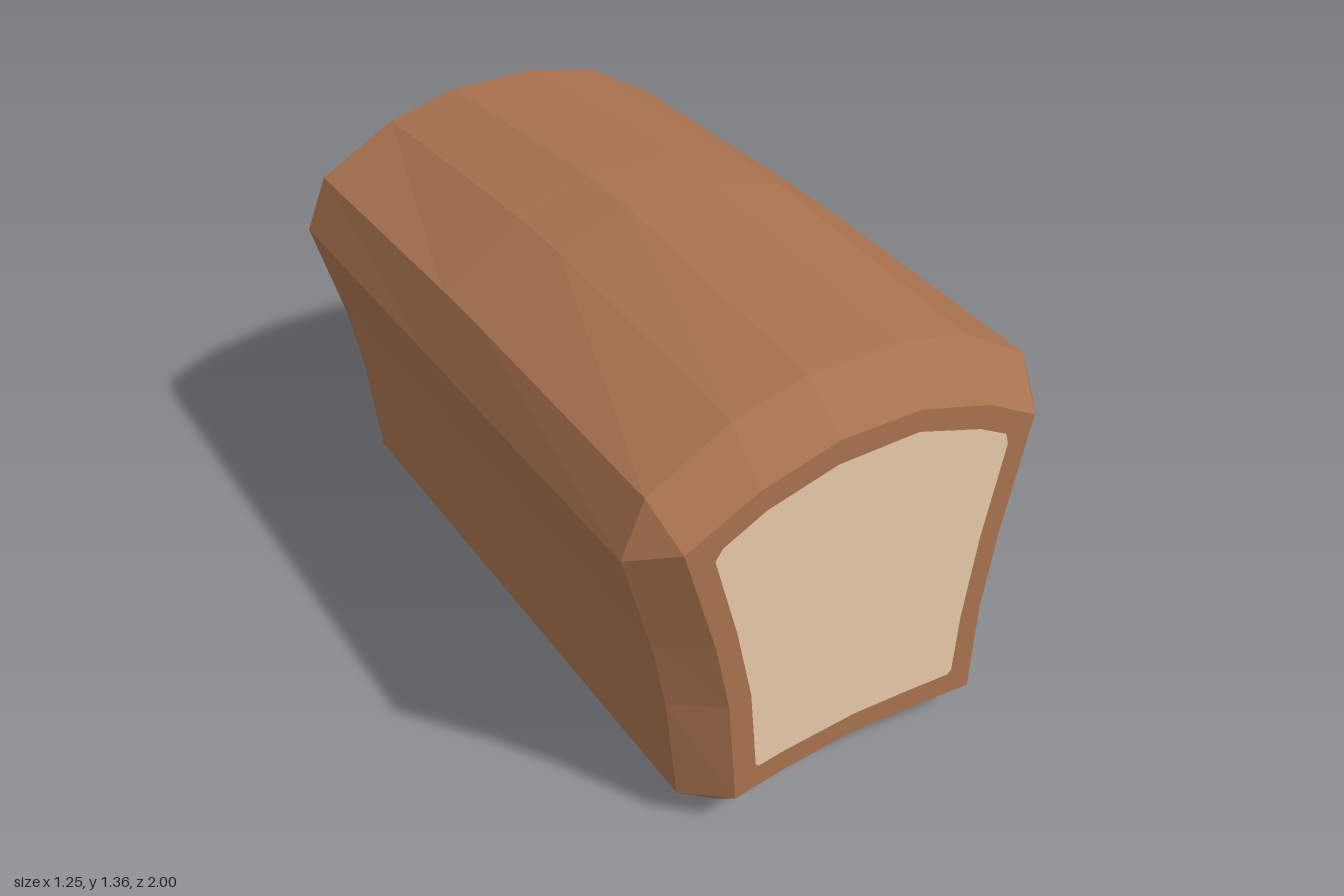
import * as THREE from 'three';

// Loaf cross-section, counter-clockwise seen from the front:
// body x, body y, end-cap x, end-cap y, extra height at mid length
const section = [
  [-0.34, 0.005, -0.355, 0.118, 0],
  [-0.2, 0.03, -0.2, 0.14, 0],
  [0.02, 0.04, 0.02, 0.155, 0],
  [0.2, 0.025, 0.22, 0.138, 0],
  [0.415, 0, 0.42, 0.117, 0],
  [0.53, 0.10, 0.42, 0.117, 0],
  [0.535, 0.38, 0.425, 0.40, 0],
  [0.56, 0.61, 0.455, 0.65, 0],
  [0.622, 0.95, 0.52, 1.00, 0],
  [0.56, 1.11, 0.52, 1.00, 0.025],
  [0.36, 1.235, 0.36, 1.09, 0.05],
  [0.145, 1.285, 0.14, 1.16, 0.067],
  [-0.12, 1.29, -0.10, 1.165, 0.065],
  [-0.33, 1.24, -0.32, 1.11, 0.05],
  [-0.56, 1.115, -0.525, 1.01, 0.02],
  [-0.625, 0.96, -0.525, 1.01, 0],
  [-0.54, 0.65, -0.43, 0.68, 0],
  [-0.50, 0.44, -0.385, 0.46, 0],
  [-0.463, 0.10, -0.355, 0.118, 0],
];

// Outline of the exposed crumb on each end
const crumbOutline = [
  [-0.285, 0.2], [-0.2, 0.21], [0.02, 0.222], [0.2, 0.21], [0.34, 0.197],
  [0.352, 0.21], [0.36, 0.40], [0.39, 0.66], [0.44, 0.94], [0.43, 0.975],
  [0.34, 1.025], [0.14, 1.095], [-0.10, 1.095], [-0.30, 1.045],
  [-0.42, 0.985], [-0.44, 0.955], [-0.37, 0.70], [-0.32, 0.47], [-0.295, 0.21],
];

const toVectors = (pts) => pts.map(([x, y]) => new THREE.Vector2(x, y));

// Flat-faced skin running through the rings from back to front
function skinGeometry(rings) {
  const pos = [];
  const triangle = (a, b, c) => {
    // skip the collapsed corners of the bevel
    if (a.distanceTo(b) < 1e-5 || b.distanceTo(c) < 1e-5 || c.distanceTo(a) < 1e-5) return;
    for (const v of [a, b, c]) pos.push(v.x, v.y, v.z);
  };
  for (let r = 0; r < rings.length - 1; r++) {
    const back = rings[r], front = rings[r + 1];
    for (let i = 0; i < back.length; i++) {
      const j = (i + 1) % back.length;
      triangle(back[i], back[j], front[j]);
      triangle(back[i], front[j], front[i]);
    }
  }
  const g = new THREE.BufferGeometry();
  g.setAttribute('position', new THREE.Float32BufferAttribute(pos, 3));
  g.computeVertexNormals();
  return g;
}

export function createModel() {
  const loaf = new THREE.Group();
  loaf.name = 'breadLoaf';

  const crust = new THREE.MeshStandardMaterial({ color: 0xa8724f });
  crust.name = 'crust brown';
  crust.flatShading = true;
  const crumb = new THREE.MeshStandardMaterial({ color: 0xe8caa9 });
  crumb.name = 'crumb cream';

  const add = (parent, name, geometry, material) => {
    const mesh = new THREE.Mesh(geometry, material);
    mesh.name = name;
    parent.add(mesh);
    return mesh;
  };

  // Crust: bevelled ends and a gently raised middle
  const rings = [-1, -0.89, -0.11, 0.11, 0.89, 1].map((z) =>
    section.map(([x, y, cx, cy, rise]) =>
      Math.abs(z) === 1
        ? new THREE.Vector3(cx, cy, z)
        : new THREE.Vector3(x, y + (Math.abs(z) < 0.5 ? rise : 0), z)));
  add(loaf, 'crust', skinGeometry(rings), crust);

  // Ends: a crust rim around a crumb panel, with the same section at the back
  for (const side of [1, -1]) {
    const end = new THREE.Group();
    end.name = side > 0 ? 'frontEnd' : 'backEnd';
    const mirror = (pts) => toVectors(pts.map(([x, y]) => [x * side, y]));

    const capPoints = section
      .map((p) => [p[2], p[3]])
      .filter(([x, y], i, all) => {
        const [px, py] = all[(i + all.length - 1) % all.length];
        return x !== px || y !== py;
      });
    const rim = new THREE.Shape(mirror(capPoints));
    rim.holes.push(new THREE.Path(mirror(crumbOutline)));
    add(end, 'crustRim', new THREE.ShapeGeometry(rim), crust);
    add(end, 'crumb', new THREE.ShapeGeometry(new THREE.Shape(mirror(crumbOutline))), crumb);

    end.position.z = side;
    if (side < 0) end.rotation.y = Math.PI;
    loaf.add(end);
  }
  return loaf;
}
